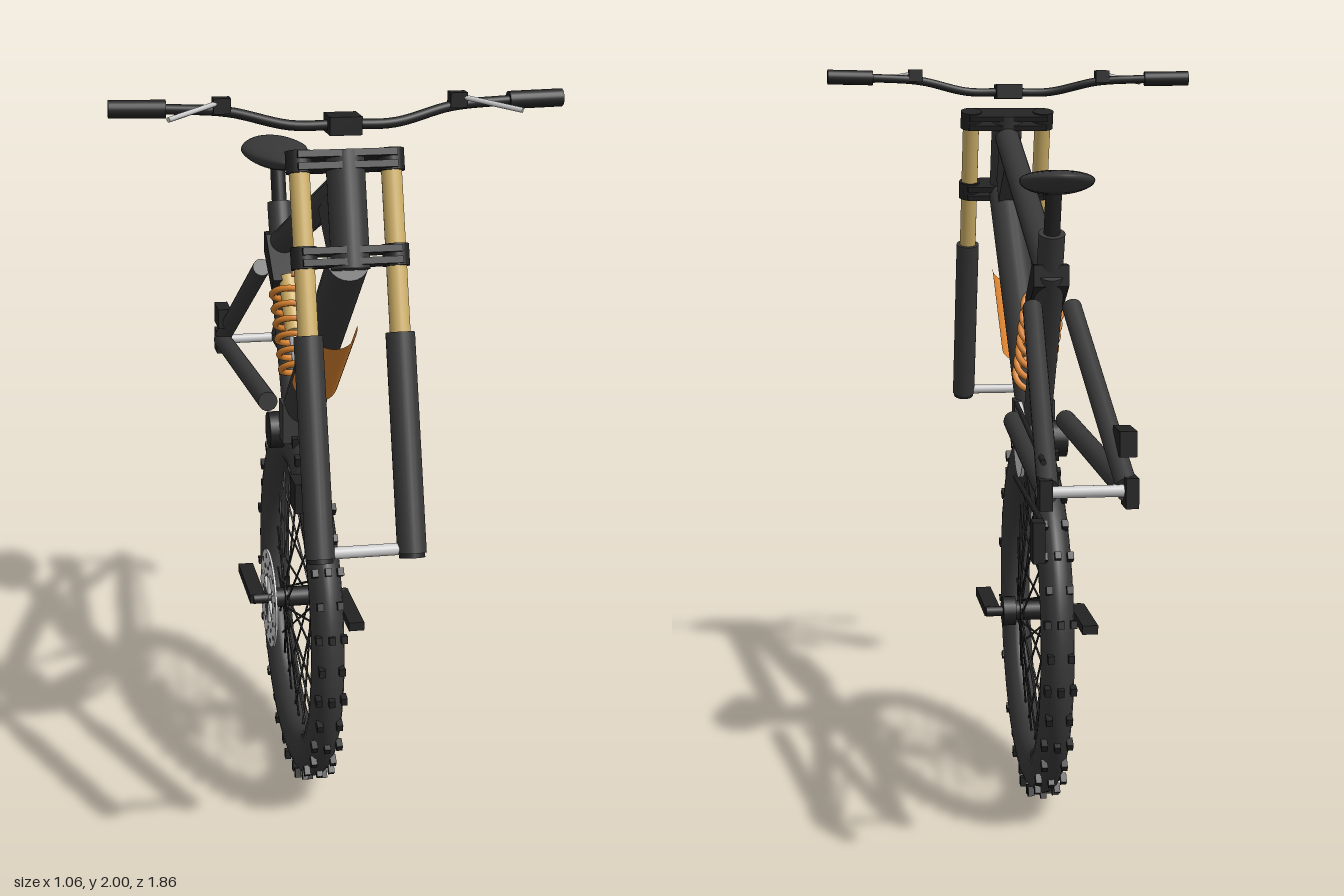
import * as THREE from 'three';

const mat = (color) => new THREE.MeshStandardMaterial({ color });
const V = (x, y, z) => new THREE.Vector3(x, y, z);
const UP = V(0, 1, 0);

export function createModel() {
  const root = new THREE.Group();
  const black = mat(0x222222), dark = mat(0x383838), grey = mat(0xcccccc);
  const gold = mat(0xcfb068), orange = mat(0xd9822f);
  const orangeThin = mat(0xd9822f);
  orangeThin.side = THREE.DoubleSide;

  const add = (name, geo, material, parent = root) => {
    const m = new THREE.Mesh(geo, material);
    m.name = name;
    parent.add(m);
    return m;
  };
  // round bar between two points
  const bar = (name, a, b, r, material, parent = root, seg = 20) => {
    const d = b.clone().sub(a);
    const m = add(name, new THREE.CylinderGeometry(r, r, d.length(), seg), material, parent);
    m.position.copy(a).add(b).multiplyScalar(0.5);
    m.quaternion.setFromUnitVectors(UP, d.normalize());
    return m;
  };
  const box = (name, w, h, d, x, y, z, material, parent = root) => {
    const m = add(name, new THREE.BoxGeometry(w, h, d), material, parent);
    m.position.set(x, y, z);
    return m;
  };
  // side outline given as [z, y] points, extruded across x
  const plate = (name, pts, width, x, material, holes = []) => {
    const s = new THREE.Shape(pts.map(([z, y]) => new THREE.Vector2(-z, y)));
    s.holes = holes;
    const g = new THREE.ExtrudeGeometry(s, { depth: width, bevelEnabled: false });
    g.translate(0, 0, -width / 2).rotateY(Math.PI / 2);
    const m = add(name, g, material);
    m.position.x = x;
    return m;
  };
  const circle = (r, n) => Array.from({ length: n }, (_, i) =>
    [r * Math.cos(i / n * 2 * Math.PI), r * Math.sin(i / n * 2 * Math.PI)]);
  const hole = (r, z = 0, y = 0) => new THREE.Path().absarc(-z, y, r, 0, Math.PI * 2, true);

  // ---- wheel ----
  const wheel = new THREE.Group();
  wheel.name = 'wheel';
  wheel.position.y = 0.515;
  root.add(wheel);
  const tyreGeo = new THREE.TorusGeometry(0.436, 0.063, 20, 96);
  tyreGeo.scale(1, 1, 0.68).rotateY(Math.PI / 2);
  add('tyre', tyreGeo, dark, wheel);
  const KNOBS = 36;
  for (let i = 0; i < KNOBS; i++) {
    const a = (i / KNOBS) * Math.PI * 2;
    for (const x of i % 2 ? [-0.026, 0.026] : [-0.033, 0, 0.033]) {
      const r = 0.5 - Math.abs(x) * 0.22;
      const k = box('tyreKnob', 0.016, 0.026, 0.02, x, r * Math.cos(a), r * Math.sin(a), black, wheel);
      k.rotation.x = a;
    }
    // crossed spokes
    const b = a + (i % 4 < 2 ? 0.8 : -0.8), side = i % 2 ? 1 : -1;
    bar('spoke', V(side * 0.04, 0.035 * Math.cos(b), 0.035 * Math.sin(b)),
      V(0, 0.38 * Math.cos(a), 0.38 * Math.sin(a)), 0.003, black, wheel, 5);
  }
  bar('hub', V(-0.075, 0, 0), V(0.06, 0, 0), 0.027, black, wheel);
  bar('hubAxle', V(-0.13, 0, 0), V(0.135, 0, 0), 0.014, black, wheel);
  bar('sprocketBody', V(0.055, 0, 0), V(0.09, 0, 0), 0.04, black, wheel);
  for (const s of [-1, 1]) {
    bar('hubFlange', V(s * 0.036, 0, 0), V(s * 0.044, 0, 0), 0.042, black, wheel);
    box('crankArm', 0.042, 0.024, 0.235, s * 0.118, 0, s * 0.115, black, wheel);
  }
  // brake rotor with vent holes and carrier arms
  const vents = [];
  for (let i = 0; i < 24; i++) {
    const a = (i / 24) * Math.PI * 2, r = i % 2 ? 0.12 : 0.092;
    vents.push(hole(0.007, r * Math.cos(a), r * Math.sin(a)));
  }
  wheel.add(plate('brakeRotor', circle(0.137, 48), 0.006, -0.085, grey, [hole(0.068), ...vents]));
  for (let i = 0; i < 6; i++) {
    const a = (i / 6) * Math.PI * 2;
    bar('rotorArm', V(-0.085, 0, 0), V(-0.085, 0.075 * Math.cos(a), 0.075 * Math.sin(a)), 0.005, grey, wheel, 6);
  }

  // ---- fork: points along the steering axis by height ----
  const onFork = (x, y) => V(x, y, 0.9 - (y - 1.0) / 3);
  const rake = Math.atan(1 / 3);
  bar('headTube', onFork(0, 1.62), onFork(0, 1.875), 0.045, dark);
  for (const s of [-1, 1]) {
    const x = s * 0.107;
    bar('forkStanchion', onFork(x, 1.45), onFork(x, 1.87), 0.024, gold);
    bar('forkLeg', onFork(x, 1.0), onFork(x, 1.48), 0.034, dark);
    bar('forkFoot', onFork(x, 0.99), onFork(x, 1.03), 0.03, black);
    for (const y of [1.648, 1.855]) bar('crownClamp', onFork(x, y - 0.024), onFork(x, y + 0.024), 0.031, black);
  }
  for (const y of [1.635, 1.66, 1.842, 1.868]) {
    const p = onFork(0, y);
    box('forkCrown', 0.23, 0.016, 0.085, 0, y, p.z, black).rotation.x = -rake;
  }
  bar('forkAxle', V(-0.11, 1.01, 0.895), V(0.11, 1.01, 0.895), 0.014, grey);
  box('frontCaliper', 0.045, 0.07, 0.07, -0.132, 1.125, 0.805, black);

  // ---- handlebar ----
  const half = [[0.12, 1.935, 0.585], [0.26, 1.965, 0.56], [0.38, 1.972, 0.548], [0.53, 1.975, 0.54]];
  const barPath = new THREE.CatmullRomCurve3([
    ...half.map(([x, y, z]) => V(-x, y, z)).reverse(), V(0, 1.935, 0.588), ...half.map((p) => V(...p))]);
  add('handlebar', new THREE.TubeGeometry(barPath, 60, 0.012, 12), black);
  box('stemClamp', 0.075, 0.042, 0.08, 0, 1.936, 0.588, black);
  for (const s of [-1, 1]) {
    bar('grip', V(s * 0.4, 1.973, 0.546), V(s * 0.53, 1.975, 0.54), 0.021, black);
    box('leverPerch', 0.04, 0.035, 0.035, s * 0.275, 1.98, 0.558, black);
    bar('brakeLever', V(s * 0.275, 1.988, 0.56), V(s * 0.405, 1.965, 0.65), 0.006, grey, root, 8);
  }

  // ---- frame ----
  bar('topTube', V(0, 1.805, 0.62), V(0, 1.455, -0.31), 0.036, dark);
  const dtTop = V(0, 1.63, 0.66), dtEnd = V(0, 1.05, -0.01);
  bar('downTube', dtTop, dtEnd, 0.049, dark);
  bar('seatTube', V(0, 1.06, -0.055), V(0, 1.47, -0.3), 0.038, dark);
  bar('seatCollar', V(0, 1.46, -0.28), V(0, 1.57, -0.325), 0.034, dark);
  bar('seatPost', V(0, 1.54, -0.315), V(0, 1.69, -0.36), 0.021, black);
  plate('gusset', [[0.56, 1.77], [0.44, 1.71], [0.58, 1.615], [0.63, 1.68]], 0.06, 0, dark);
  bar('bottomBracket', V(-0.08, 1.0, -0.035), V(0.042, 1.0, -0.035), 0.05, black);
  box('bracketMount', 0.11, 0.11, 0.065, 0, 1.045, 0.03, dark);

  // down tube guard: half shell under the tube
  const dir = dtEnd.clone().sub(dtTop).normalize();
  const out = V(0, dir.z, -dir.y);
  const guard = add('frameGuard',
    new THREE.CylinderGeometry(0.06, 0.06, 0.318, 24, 1, true, -Math.PI / 2, Math.PI), orangeThin);
  guard.quaternion.setFromRotationMatrix(
    new THREE.Matrix4().makeBasis(V(-1, 0, 0), dir, out));
  guard.position.copy(dtTop).addScaledVector(dir, 0.427).addScaledVector(out, 0.036);

  // saddle: flattened sphere, narrowed to the nose
  const saddleGeo = new THREE.SphereGeometry(1, 40, 24);
  const sp = saddleGeo.attributes.position;
  for (let i = 0; i < sp.count; i++) {
    const t = sp.getZ(i), y = sp.getY(i);
    const w = 0.098 * (t > -0.3 ? 1 - 0.42 * ((t + 0.3) / 1.3) : 1);
    sp.setXYZ(i, sp.getX(i) * w, y * (y < 0 ? 0.036 : 0.026) + 0.008 * t * t - 0.006 * t, t * 0.183);
  }
  saddleGeo.computeVertexNormals();
  add('saddle', saddleGeo, dark).position.set(0, 1.702, -0.365);

  // ---- shock and linkage ----
  const sA = V(0, 1.14, 0.05), sB = V(0, 1.39, -0.175);
  const sMid = sA.clone().lerp(sB, 0.5);
  bar('shockShaft', sA, sMid, 0.018, grey);
  bar('shockBody', sMid, sB, 0.027, gold);
  const sDir = sB.clone().sub(sA).normalize(), sN = V(0, sDir.z, -sDir.y);
  const TURNS = 6.5, coil = [];
  for (let i = 0; i <= 130; i++) {
    const t = i / 130, a = t * TURNS * Math.PI * 2;
    coil.push(sA.clone().lerp(sB, 0.08 + 0.88 * t)
      .addScaledVector(sN, 0.05 * Math.cos(a)).add(V(0.05 * Math.sin(a), 0, 0)));
  }
  add('shockSpring', new THREE.TubeGeometry(new THREE.CatmullRomCurve3(coil), 260, 0.009, 8), orange);
  plate('rockerLink', [[-0.15, 1.39], [-0.18, 1.35], [-0.32, 1.435], [-0.32, 1.49], [-0.28, 1.49]], 0.09, 0, black);

  // ---- rear triangle ----
  for (const s of [-1, 1]) {
    bar('seatStay', V(s * 0.05, 1.385, -0.33), V(s * 0.09, 1.03, -0.89), 0.025, dark);
    bar('chainStay', V(s * 0.07, 1.06, -0.1), V(s * 0.092, 1.02, -0.89), 0.027, dark);
    box('dropout', 0.03, 0.07, 0.065, s * 0.098, 1.018, -0.892, black);
  }
  bar('rearAxle', V(-0.1, 1.02, -0.893), V(0.1, 1.02, -0.893), 0.014, grey);
  box('rearCaliper', 0.04, 0.06, 0.095, -0.1, 1.12, -0.812, black);

  // ---- drivetrain ----
  bar('chainring', V(0.04, 1.0, -0.035), V(0.05, 1.0, -0.035), 0.103, grey, root, 48);
  bar('chainringBolt', V(0.04, 1.0, -0.035), V(0.058, 1.0, -0.035), 0.018, black, root, 4);
  bar('upperChain', V(0.06, 1.105, -0.08), V(0.1, 1.088, -0.89), 0.007, black, root, 8);
  bar('lowerChain', V(0.06, 0.9, -0.06), V(0.1, 0.945, -0.88), 0.007, black, root, 8);
  box('derailleur', 0.028, 0.095, 0.05, 0.113, 0.908, -0.89, black);
  return root;
}
